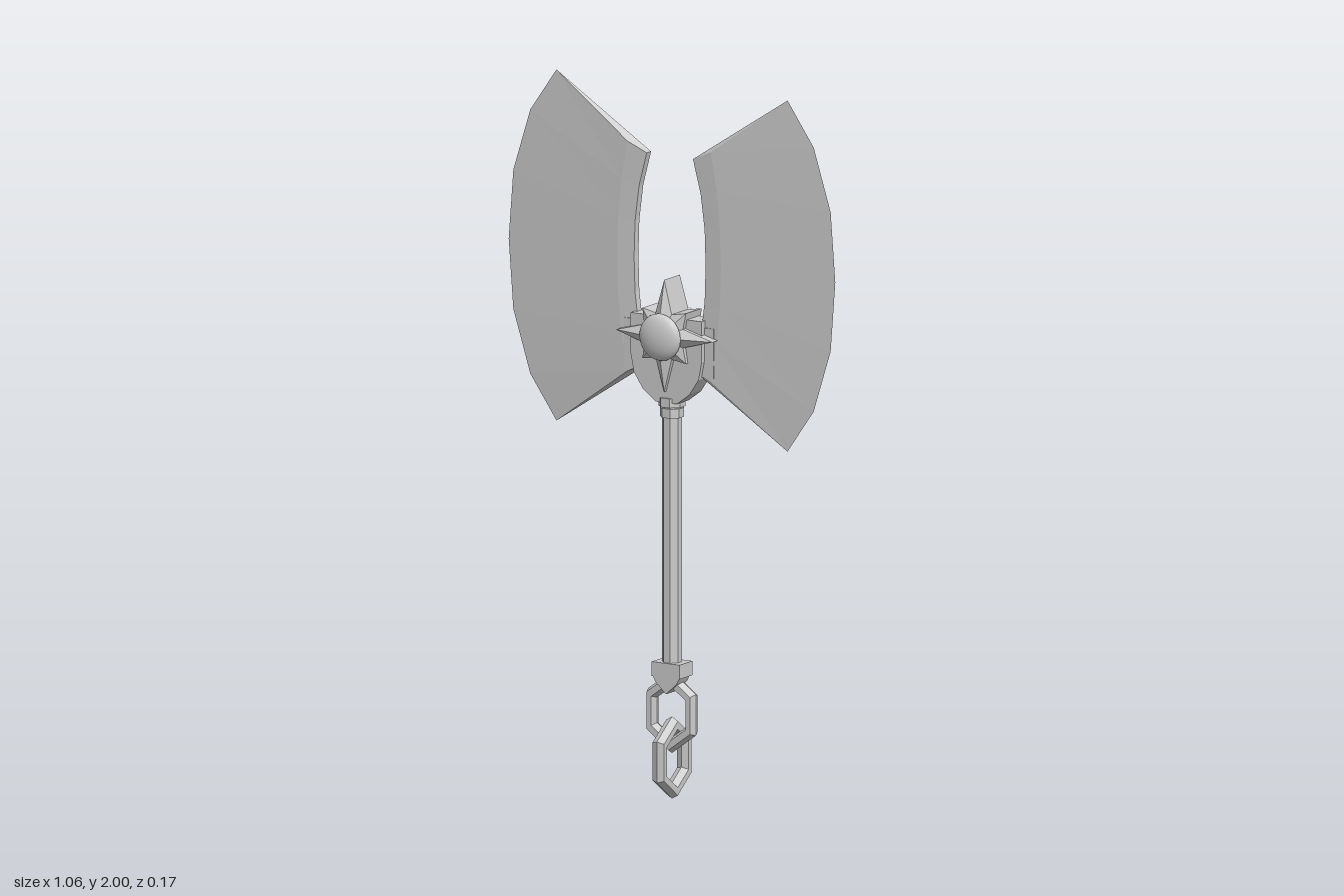
import * as THREE from 'three';

const mat = new THREE.MeshStandardMaterial({ color: 0xcccccc, flatShading: true });
const smooth = new THREE.MeshStandardMaterial({ color: 0xcccccc });

function add(parent, name, geo, x = 0, y = 0, z = 0, material = mat) {
  const mesh = new THREE.Mesh(geo, material);
  mesh.name = name;
  mesh.position.set(x, y, z);
  parent.add(mesh);
  return mesh;
}

// Flat faceted geometry from a list of corner triples
function facets(points) {
  const geo = new THREE.BufferGeometry();
  geo.setAttribute('position', new THREE.Float32BufferAttribute(points.flat(), 3));
  geo.computeVertexNormals();
  return geo;
}

// Flat outline extruded between two depths
function slab(outline, z0, z1) {
  const shape = new THREE.Shape(outline.map(([x, y]) => new THREE.Vector2(x, y)));
  const geo = new THREE.ExtrudeGeometry(shape, { depth: z1 - z0, bevelEnabled: false });
  return geo.translate(0, 0, z0);
}

// Blade: wedge section (inner edge, ridge, cutting edge) swept from top to bottom
function bladeGeometry() {
  const mid = 1.508;
  // inner x, inner dy, ridge x, ridge dy, edge x, edge dy
  const half = [
    [0.075, 0.295, 0.135, 0.322, 0.375, 0.492],
    [0.1, 0.2, 0.155, 0.215, 0.46, 0.37],
    [0.113, 0.1, 0.165, 0.108, 0.515, 0.195],
    [0.116, 0, 0.168, 0, 0.53, 0],
  ];
  const mirrored = half.slice(0, 3).reverse().map(r => r.map((v, i) => (i % 2 ? -v : v)));
  const rows = [...half, ...mirrored].map(([ix, iy, rx, ry, ex, ey]) => [
    [ix, mid + iy, 0.011], [rx, mid + ry, 0.015], [ex, mid + ey, 0],
    [rx, mid + ry, -0.015], [ix, mid + iy, -0.011],
  ]);
  const p = [];
  for (let r = 0; r < rows.length - 1; r++) {
    for (let k = 0; k < 5; k++) {
      const a = rows[r][k], b = rows[r][(k + 1) % 5];
      const d = rows[r + 1][k], c = rows[r + 1][(k + 1) % 5];
      p.push(a, d, c, a, c, b);
    }
  }
  const top = rows[0], bottom = rows[rows.length - 1];
  for (let k = 1; k < 4; k++) {
    p.push(top[0], top[k], top[k + 1], bottom[0], bottom[k + 1], bottom[k]);
  }
  return facets(p.flatMap(v => [v]));
}

// Eight-pointed star with ridged faces front and back
function starGeometry() {
  const ring = [];
  for (let i = 0; i < 16; i++) {
    const t = (i * Math.PI) / 8;
    const r = i % 2 ? 0.068 : i % 4 ? 0.1 : 0.157;
    ring.push([r * Math.cos(t), r * Math.sin(t), i % 2 ? 0.043 : 0.04]);
  }
  const back = ([x, y, z]) => [x, y, -z];
  const c = [0, 0, 0.075];
  const p = [];
  ring.forEach((a, i) => {
    const b = ring[(i + 1) % 16];
    p.push(c, a, b, back(c), back(b), back(a));
    p.push(a, back(a), back(b), a, back(b), b);
  });
  return facets(p);
}

// Pointed six-sided chain link
function link(parent, name, y, turn) {
  const geo = new THREE.TorusGeometry(0.093, 0.022, 6, 6);
  geo.rotateZ(Math.PI / 6).scale(0.78, 1, 1);
  add(parent, name, geo, 0, y, 0).rotation.y = turn;
}

export function createModel() {
  const group = new THREE.Group();
  group.name = 'doubleAxe';

  // Blades
  const blade = bladeGeometry();
  add(group, 'leftBlade', blade);
  add(group, 'rightBlade', blade).rotation.y = Math.PI;

  // Head block tapering down into the shaft
  const side = [[0.035, 1.115], [0.075, 1.145], [0.105, 1.19], [0.115, 1.24], [0.115, 1.355]];
  const outline = [...side, ...side.map(([x, y]) => [-x, y]).reverse()];
  const head = slab(outline, -0.03, 0.03);
  add(group, 'headBlock', head);
  for (const s of [-1, 1]) {
    add(group, 'bladeSocket', new THREE.BoxGeometry(0.07, 0.14, 0.032), s * 0.11, 1.265, 0);
  }

  // Star boss with a dome on each face
  add(group, 'star', starGeometry(), 0, 1.304, 0);
  for (const s of [-1, 1]) {
    const dome = new THREE.SphereGeometry(0.066, 24, 8, 0, Math.PI * 2, 0, Math.PI / 2);
    dome.scale(1, 0.4, 1).rotateX((s * Math.PI) / 2);
    add(group, s > 0 ? 'frontDome' : 'backDome', dome, 0, 1.304, s * 0.06, smooth);
  }

  // Shaft and collars
  const shaft = new THREE.CylinderGeometry(0.028, 0.028, 0.8, 8).rotateY(Math.PI / 8);
  add(group, 'shaft', shaft, 0, 0.765, 0);
  for (const [y, r] of [[1.085, 0.034], [1.115, 0.038]]) {
    add(group, 'collar', new THREE.CylinderGeometry(r, r, 0.026, 8).rotateY(Math.PI / 8), 0, y, 0);
  }

  // Pommel cap with a pointed tab
  add(group, 'pommelCap', new THREE.BoxGeometry(0.09, 0.04, 0.066), 0, 0.365, 0);
  const tab = [[-0.043, 0.346], [-0.035, 0.33], [0, 0.298], [0.035, 0.33], [0.043, 0.346]];
  add(group, 'pommelTab', slab(tab, -0.022, 0.031));

  // Chain
  link(group, 'upperLink', 0.243, 0);
  link(group, 'lowerLink', 0.115, Math.PI / 2);

  return group;
}
